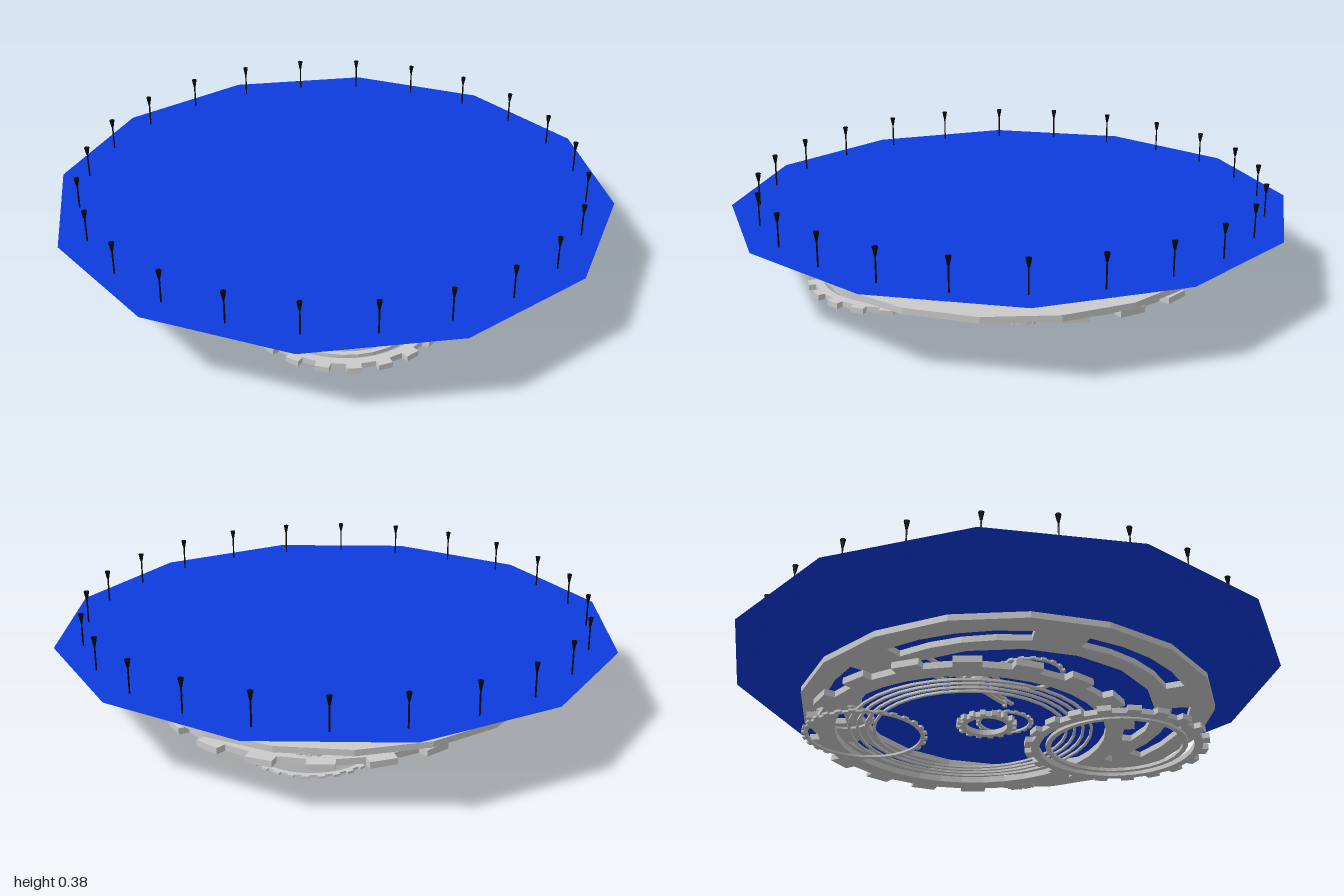
import * as THREE from 'three';

const TAU = Math.PI * 2;
const grey = new THREE.MeshStandardMaterial({ color: 0xcccccc, flatShading: true, side: THREE.DoubleSide });
const blue = new THREE.MeshStandardMaterial({ color: 0x0d3cdd, side: THREE.DoubleSide });
const black = new THREE.MeshStandardMaterial({ color: 0x080808, flatShading: true });

const polar = (r, a) => new THREE.Vector2(r * Math.cos(a), r * Math.sin(a));
const polygon = (r, sides, phase = 0) =>
  Array.from({ length: sides }, (_, i) => polar(r, phase + (i / sides) * TAU));

// Outline with blocky teeth
function toothed(root, tip, teeth) {
  const pts = [];
  const step = TAU / teeth;
  for (let i = 0; i < teeth; i++) {
    const a = i * step;
    pts.push(polar(root, a), polar(root, a + step * 0.5), polar(tip, a + step * 0.52), polar(tip, a + step * 0.98));
  }
  return pts;
}

// Closed arc-shaped slot
function slot(inner, outer, mid, half) {
  const pts = [];
  for (let i = 0; i <= 4; i++) pts.push(polar(outer, mid - half + (i / 4) * 2 * half));
  for (let i = 4; i >= 0; i--) pts.push(polar(inner, mid - half + (i / 4) * 2 * half));
  return pts;
}

// Horizontal plate cut from an outline with holes, between two heights
function plate(name, outline, holes, [x, z], bottom, top) {
  const shape = new THREE.Shape(outline);
  holes.forEach((h) => shape.holes.push(new THREE.Path(h)));
  const geo = new THREE.ExtrudeGeometry(shape, { depth: top - bottom, bevelEnabled: false });
  geo.rotateX(Math.PI / 2);
  const mesh = new THREE.Mesh(geo, grey);
  mesh.name = name;
  mesh.position.set(x, top, z);
  return mesh;
}

const ring = (name, centre, outer, inner, bottom, top, sides = 28) =>
  plate(name, polygon(outer, sides), [polygon(inner, sides)], centre, bottom, top);

const gear = (name, centre, tip, root, inner, teeth, bottom, top) =>
  plate(name, toothed(root, tip, teeth), [polygon(inner, teeth * 2)], centre, bottom, top);

function box(name, w, h, d, x, y, z, mat = grey) {
  const mesh = new THREE.Mesh(new THREE.BoxGeometry(w, h, d), mat);
  mesh.name = name;
  mesh.position.set(x, y, z);
  return mesh;
}

// Pointer along -z with a ring ornament, a collar and a pointed tip
function hand(name, y, back, length, ringZ, ringR) {
  const g = new THREE.Group();
  g.name = name;
  const tipZ = -length + 0.07;
  g.add(box('handBar', 0.016, 0.008, back - tipZ, 0, y, (back + tipZ) / 2));
  g.add(ring('handRing', [0, ringZ], ringR, ringR - 0.014, y - 0.004, y + 0.004, 16));
  g.add(box('handCollar', 0.03, 0.024, 0.03, 0, y - 0.002, ringZ));
  const tip = [[-0.025, tipZ], [0.025, tipZ], [0, -length]].map(([a, b]) => new THREE.Vector2(a, b));
  g.add(plate('handTip', tip, [], [0, 0], y - 0.004, y + 0.004));
  return g;
}

export function createModel() {
  const model = new THREE.Group();
  model.name = 'clockworkPlatform';

  // Twelve-sided floor
  const floor = new THREE.Mesh(new THREE.CircleGeometry(1, 12).rotateX(-Math.PI / 2), blue);
  floor.name = 'floor';
  floor.position.y = 0.265;
  model.add(floor);

  // Ring of slim posts with flared heads
  for (let i = 0; i < 24; i++) {
    const p = polar(0.9, (i / 24) * TAU);
    const post = new THREE.Group();
    post.name = 'post';
    post.position.set(p.x, 0.265, p.y);
    post.add(box('postStem', 0.004, 0.09, 0.004, 0, 0.045, 0, black));
    const head = new THREE.Mesh(new THREE.CylinderGeometry(0.01, 0.004, 0.03, 6), black);
    head.name = 'postHead';
    head.position.y = 0.102;
    post.add(head);
    model.add(post);
  }

  // Large slotted ring
  const deg = Math.PI / 180;
  const slots = Array.from({ length: 6 }, (_, i) => slot(0.59, 0.655, (10 + i * 60) * deg, 22 * deg));
  model.add(plate('slottedRing', polygon(0.742, 18, 10 * deg),
    [polygon(0.53, 18, 10 * deg), ...slots], [-0.012, 0], 0.1, 0.122));

  // Main gear with thin concentric rings inside
  const main = [0.108, -0.06];
  model.add(gear('mainGear', main, 0.588, 0.55, 0.485, 18, 0.034, 0.057));
  [0.44, 0.41, 0.38, 0.35].forEach((r) =>
    model.add(ring('innerRing', main, r, r - 0.01, 0.041, 0.049, 36)));

  // Lowest gear and its inner ring
  const low = [-0.302, 0.275];
  model.add(gear('lowGear', low, 0.335, 0.31, 0.28, 20, 0, 0.02));
  model.add(ring('lowGearRing', low, 0.257, 0.238, 0.004, 0.016, 32));

  // Small centre gear
  model.add(gear('centreGear', [0, -0.112], 0.107, 0.093, 0.072, 16, 0.019, 0.038));

  // Thin side gear
  model.add(gear('sideGear', [0.398, -0.302], 0.224, 0.214, 0.2, 28, 0.013, 0.021));

  // Small fine-toothed wheels
  [[-0.292, -0.285, 0.123], [0, 0, 0.104], [0.3, 0.523, 0.079], [0.45, -0.36, 0.11]].forEach(([x, z, r]) =>
    model.add(gear('smallWheel', [x, z], r, r - 0.007, r - 0.017, 20, 0.073, 0.081)));

  // Hands on a central spindle
  model.add(hand('shortHand', 0.167, 0.05, 0.35, -0.16, 0.06));
  model.add(hand('longHand', 0.15, 0, 0.545, -0.325, 0.075));
  const spindle = new THREE.Mesh(new THREE.CylinderGeometry(0.008, 0.008, 0.037, 8), grey);
  spindle.name = 'spindle';
  spindle.position.y = 0.157;
  model.add(spindle);

  return model;
}
